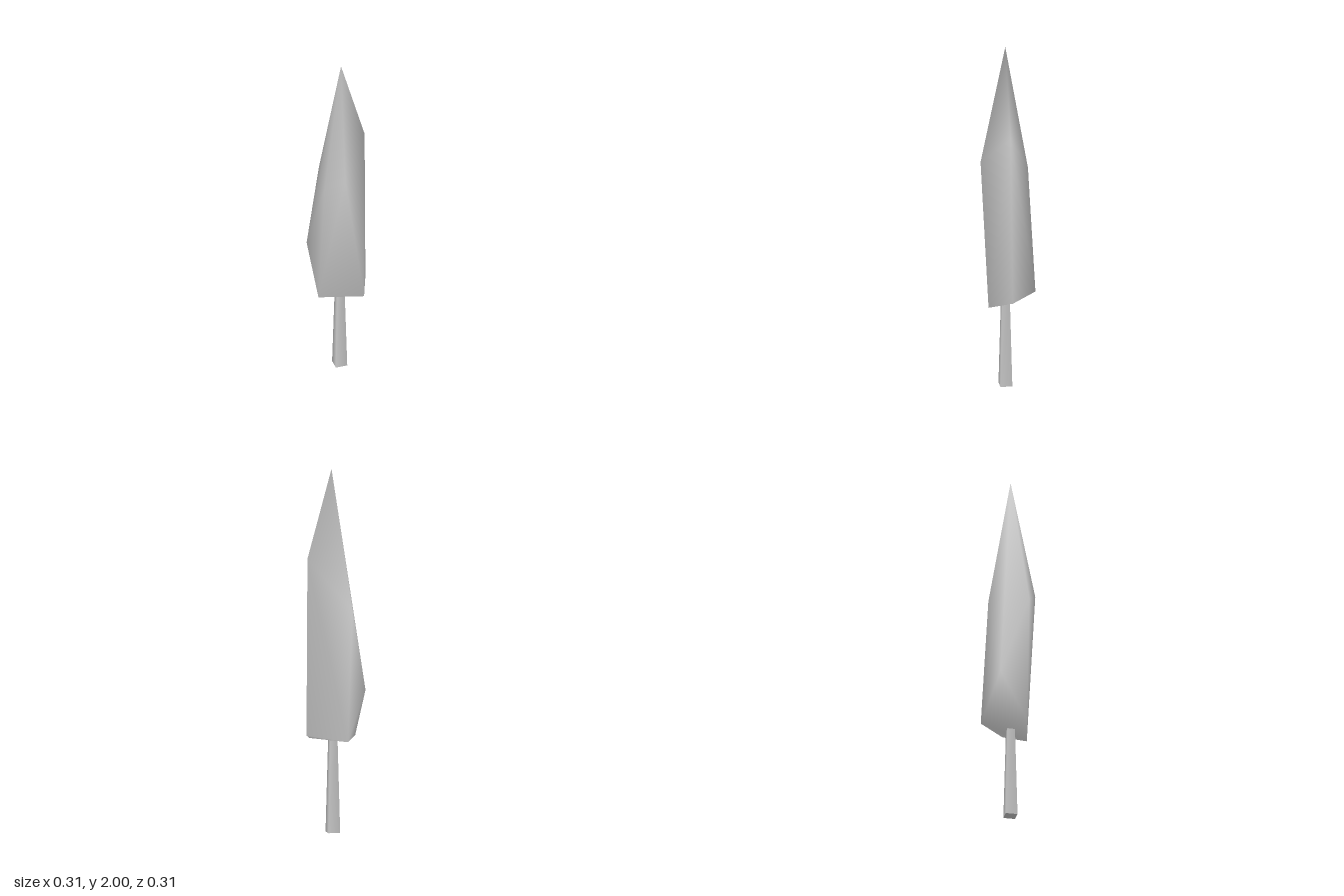
import * as THREE from 'three';
import { ConvexGeometry } from 'three/addons/geometries/ConvexGeometry.js';
import { mergeVertices } from 'three/addons/utils/BufferGeometryUtils.js';

const material = new THREE.MeshStandardMaterial({ color: 0xcccccc });

// Smooth-shaded irregular hull around a few corner points
function smoothHull(points) {
  const hull = new ConvexGeometry(points.map(p => new THREE.Vector3(...p)));
  hull.deleteAttribute('normal');
  const geometry = mergeVertices(hull, 1e-4);
  geometry.computeVertexNormals();
  return geometry;
}

export function createModel() {
  const tree = new THREE.Group();
  tree.name = 'tree';

  // Foliage: tip, shoulder corners, and bottom corners
  const tip = [0.01, 2, 0.02];
  const shoulders = [
    [0.147, 1.51, 0.015],
    [-0.01, 1.32, 0.153],
    [-0.11, 1.26, 0.099],
    [-0.157, 0.79, -0.07],
    [-0.07, 1.24, -0.12],
  ];
  const bottom = [
    [0.155, 0.54, 0.005],
    [0.105, 0.505, 0.13],
    [-0.14, 0.52, 0.08],
    [-0.035, 0.52, -0.155],
  ];
  const foliage = new THREE.Mesh(smoothHull([tip, ...shoulders, ...bottom]), material);
  foliage.name = 'foliage';
  tree.add(foliage);

  // Trunk: tapered four-sided post reaching into the foliage
  const height = 0.56;
  const trunk = new THREE.Mesh(
    new THREE.CylinderGeometry(0.028, 0.046, height, 4, 1, false, Math.PI / 4),
    material
  );
  trunk.name = 'trunk';
  trunk.position.set(0.003, height / 2, 0.018);
  tree.add(trunk);

  return tree;
}
